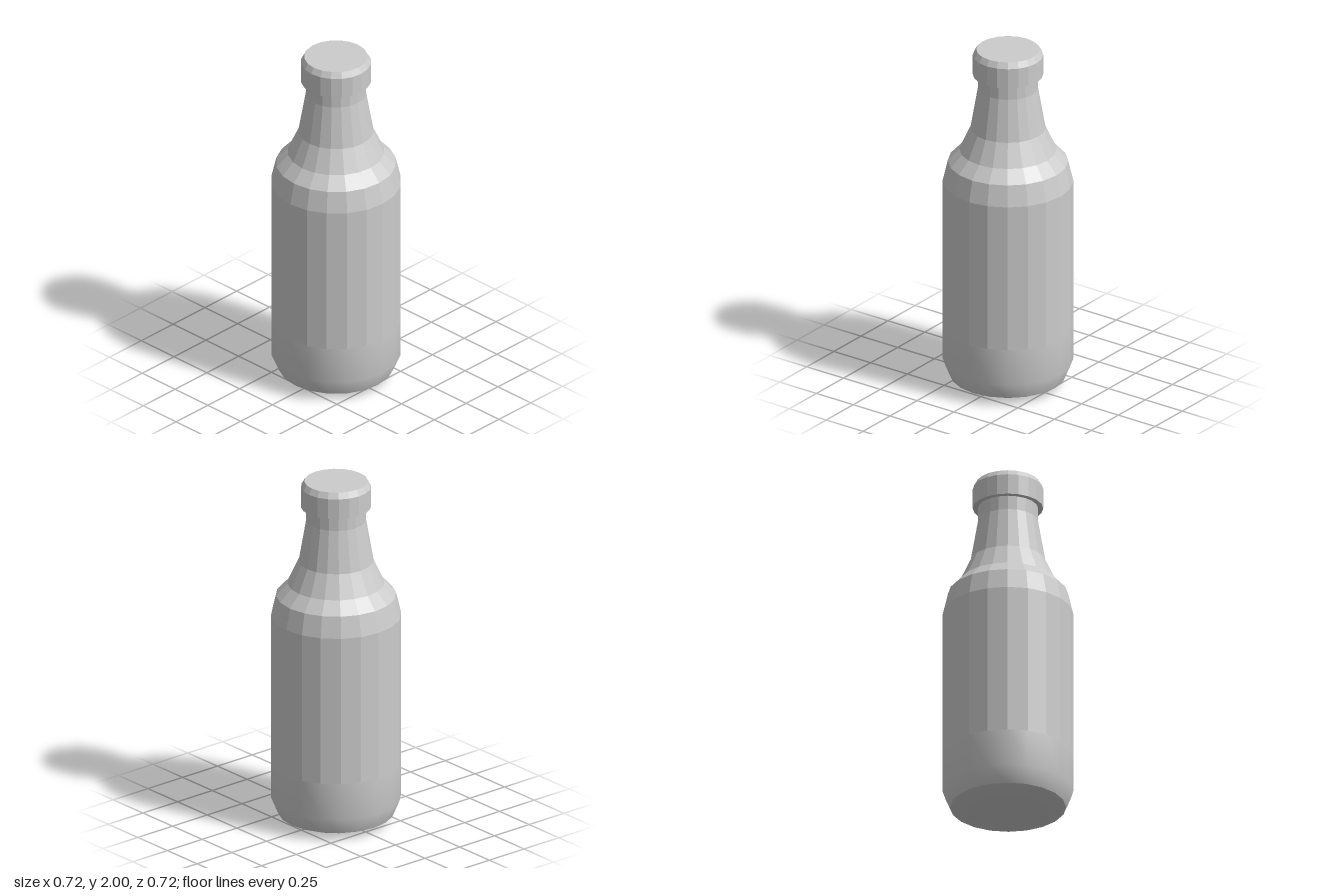
import * as THREE from 'three';

const SIDES = 20;

// Revolves a profile of [radius, height] pairs, listed from bottom to top.
function turned(name, profile, flatShading) {
  const points = profile.map(([r, y]) => new THREE.Vector2(r, y));
  const material = new THREE.MeshStandardMaterial({ color: 0xcccccc, flatShading });
  const mesh = new THREE.Mesh(new THREE.LatheGeometry(points, SIDES), material);
  mesh.name = name;
  return mesh;
}

export function createModel() {
  const bottle = new THREE.Group();
  bottle.name = 'bottle';

  bottle.add(
    // Shallow underside and rounded lower wall, both smooth
    turned('base', [[0, 0], [0.21, 0], [0.318, 0.045]], false),
    turned('lowerBody', [[0.318, 0.045], [0.358, 0.14], [0.358, 0.35]], false),
    // Faceted body, shoulder and neck
    turned('body', [[0.358, 0.35], [0.358, 1.21]], true),
    turned('shoulder', [[0.358, 1.21], [0.33, 1.33], [0.266, 1.4], [0.206, 1.53]], true),
    turned('neck', [[0.206, 1.53], [0.165, 1.77], [0.165, 1.85]], true),
    // Cap with an overhanging rim and a bevelled top edge
    turned('cap', [[0.165, 1.85], [0.193, 1.85], [0.193, 1.967], [0.174, 2], [0, 2]], true)
  );
  return bottle;
}
